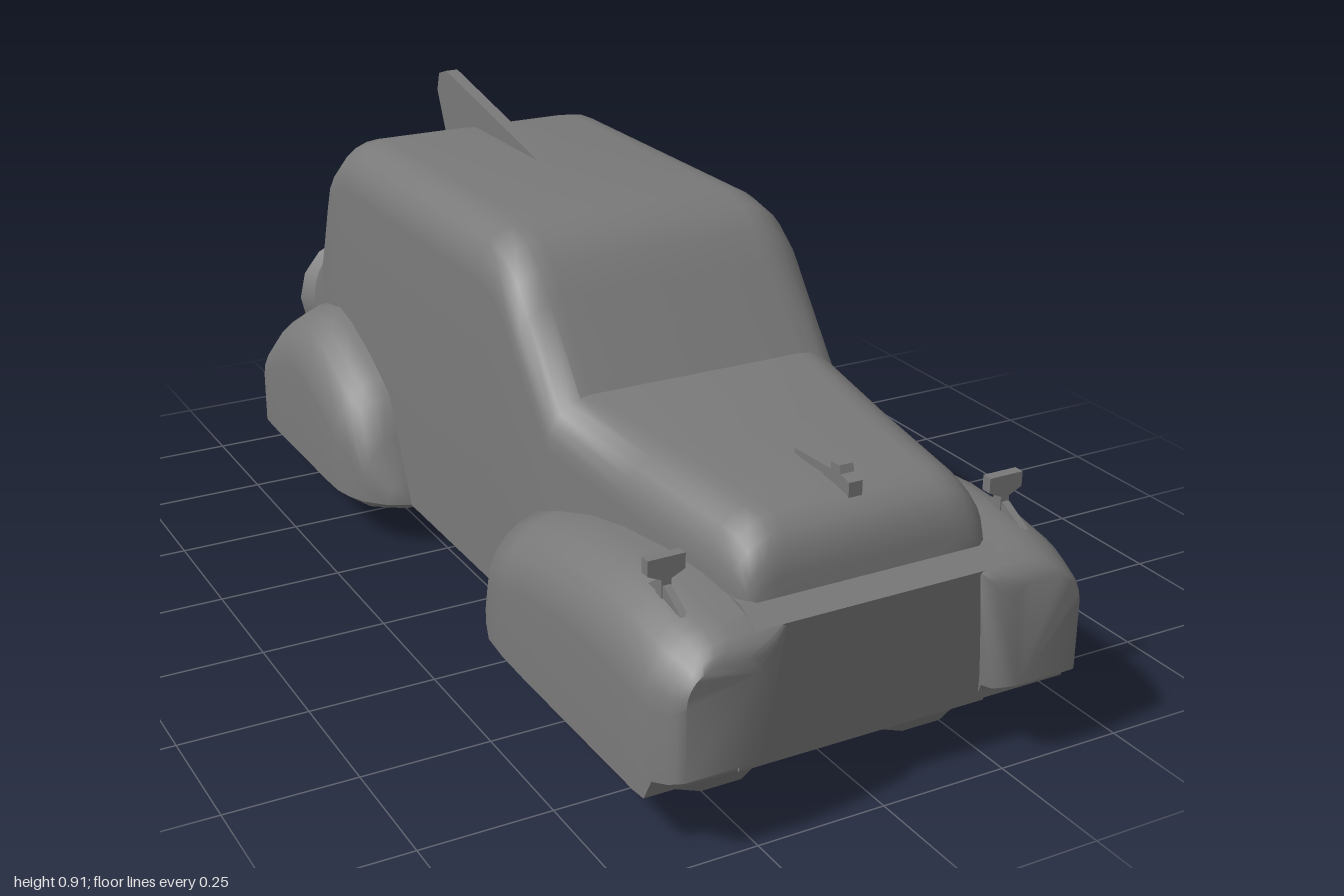
import * as THREE from 'three';
import { toCreasedNormals } from 'three/addons/utils/BufferGeometryUtils.js';

const material = new THREE.MeshStandardMaterial({ color: 0x797979 });

// Section with two rounded top corners: inner/outer x, bottom/top y, inner/outer radius,
// and how far the inner bottom corner leans outwards
function section([z, x0, x1, y0, y1, r0, r1, lean = 0], side) {
  const pts = [[x0 + lean, y0, z], [x1, y0, z]];
  const corner = (x, r, sign, from) => {
    r = Math.min(r, (y1 - y0) * 0.95);
    for (let i = 0; i <= 6; i++) {
      const a = from + (i / 6) * Math.PI / 2;
      pts.push([x - sign * r + Math.cos(a) * r, y1 - r + Math.sin(a) * r, z]);
    }
  };
  corner(x1, r1, 1, 0);
  corner(x0, r0, -1, Math.PI / 2);
  return side < 0 ? pts.map(([x, y, zz]) => [-x, y, zz]).reverse() : pts;
}

// Skin the sections from back to front and cap both ends
function loft(rows, side = 1) {
  const rings = rows.map(r => section(r, side));
  const n = rings[0].length, last = (rings.length - 1) * n, index = [];
  for (let i = 0; i < rings.length - 1; i++) {
    for (let j = 0; j < n; j++) {
      const a = i * n + j, b = i * n + (j + 1) % n;
      index.push(a, b, b + n, a, b + n, a + n);
    }
  }
  for (let j = 1; j < n - 1; j++) index.push(0, j + 1, j, last, last + j, last + j + 1);
  const g = new THREE.BufferGeometry();
  g.setAttribute('position', new THREE.Float32BufferAttribute(rings.flat(2), 3));
  g.setIndex(index);
  return toCreasedNormals(g, 0.78);
}

// Side outline given as [z, y], extruded across x
function sidePlate(points, width, x = 0) {
  const shape = new THREE.Shape(points.map(([z, y]) => new THREE.Vector2(-z, y)));
  const g = new THREE.ExtrudeGeometry(shape, { depth: width, bevelEnabled: false });
  return g.translate(0, 0, -width / 2).rotateY(Math.PI / 2).translate(x, 0, 0);
}

// Turned part: smooth around, sharp between its bands
const turned = (profile, sides) => toCreasedNormals(new THREE.LatheGeometry(
  profile.map(([r, y]) => new THREE.Vector2(r, y)), sides, Math.PI / 2), 0.66);

export function createModel() {
  const car = new THREE.Group();
  car.name = 'car';
  const add = (name, geometry) => {
    const mesh = new THREE.Mesh(geometry, material);
    mesh.name = name;
    car.add(mesh);
    return mesh;
  };

  // Cabin and hood in one skin: z, half width, bottom, top, corner radius
  add('body', loft([
    [-0.88, 0.285, 0.35, 0.43, 0.06],
    [-0.87, 0.297, 0.32, 0.46, 0.08],
    [-0.84, 0.306, 0.25, 0.505, 0.1],
    [-0.78, 0.312, 0.104, 0.55, 0.1],
    [-0.76, 0.314, 0.104, 0.585, 0.1],
    [-0.71, 0.316, 0.104, 0.715, 0.1],
    [-0.685, 0.318, 0.104, 0.765, 0.1],
    [-0.64, 0.318, 0.104, 0.8, 0.1],
    [-0.58, 0.318, 0.104, 0.815, 0.1],
    [0.08, 0.318, 0.104, 0.815, 0.1],
    [0.15, 0.318, 0.104, 0.8, 0.1],
    [0.2, 0.318, 0.104, 0.762, 0.1],
    [0.24, 0.318, 0.104, 0.71, 0.1],
    [0.36, 0.312, 0.104, 0.565, 0.09],
    [0.6, 0.284, 0.104, 0.55, 0.1],
    [0.83, 0.258, 0.104, 0.535, 0.1],
    [0.87, 0.253, 0.104, 0.528, 0.1],
    [0.9, 0.247, 0.104, 0.51, 0.09],
    [0.92, 0.238, 0.104, 0.48, 0.08],
    [0.93, 0.225, 0.104, 0.44, 0.05],
  ].map(([z, w, y0, y1, r]) => [z, -w, w, y0, y1, r, r])));

  // Sloping front panel between the fenders
  add('grillePanel', sidePlate([[0.3, 0.104], [0.935, 0.104], [0.975, 0.385], [0.925, 0.41], [0.3, 0.41]], 0.5));

  // Fin on the roof and ornament on the hood
  add('roofFin', sidePlate([[-0.27, 0.814], [-0.73, 0.908], [-0.77, 0.895], [-0.782, 0.855],
    [-0.71, 0.7], [-0.6, 0.75]], 0.027));
  add('hoodOrnament', sidePlate([[0.71, 0.552], [0.82, 0.557], [0.82, 0.57], [0.845, 0.572], [0.85, 0.558],
    [0.875, 0.552], [0.875, 0.515], [0.8, 0.515], [0.8, 0.54], [0.71, 0.54]], 0.027));

  for (const s of [1, -1]) {
    const label = s > 0 ? 'left' : 'right';

    // Front fender, its nose leaning away from the grille
    add(label + 'FrontFender', loft([
      [0.2, 0.19, 0.32, 0.104, 0.109, 0, 0.005],
      [0.23, 0.19, 0.37, 0.104, 0.165, 0, 0.06],
      [0.27, 0.19, 0.4, 0.104, 0.235, 0, 0.1],
      [0.33, 0.19, 0.422, 0.104, 0.345, 0, 0.13],
      [0.4, 0.19, 0.428, 0.104, 0.37, 0, 0.13],
      [0.5, 0.19, 0.43, 0.104, 0.4, 0, 0.13],
      [0.6, 0.19, 0.43, 0.104, 0.417, 0, 0.13],
      [0.72, 0.19, 0.43, 0.104, 0.426, 0, 0.13],
      [0.82, 0.19, 0.43, 0.104, 0.422, 0, 0.13],
      [0.9, 0.19, 0.43, 0.104, 0.408, 0, 0.13],
      [0.93, 0.19, 0.427, 0.104, 0.402, 0, 0.13, 0.045],
      [0.945, 0.19, 0.421, 0.142, 0.398, 0, 0.125, 0.045],
      [0.975, 0.193, 0.41, 0.15, 0.385, 0.01, 0.11, 0.042],
      [0.99, 0.215, 0.401, 0.156, 0.373, 0.02, 0.09, 0.035],
      [1.0, 0.25, 0.39, 0.16, 0.355, 0.03, 0.06, 0.02],
    ], s));

    // Rear fender
    add(label + 'RearFender', loft([
      [-0.92, 0.31, 0.408, 0.104, 0.225, 0, 0.05],
      [-0.87, 0.3, 0.428, 0.104, 0.305, 0, 0.09],
      [-0.82, 0.29, 0.43, 0.104, 0.365, 0, 0.12],
      [-0.74, 0.29, 0.43, 0.104, 0.413, 0, 0.13],
      [-0.65, 0.29, 0.43, 0.104, 0.432, 0, 0.13],
      [-0.58, 0.29, 0.43, 0.104, 0.418, 0, 0.13],
      [-0.48, 0.29, 0.43, 0.104, 0.378, 0, 0.13],
      [-0.42, 0.29, 0.428, 0.104, 0.346, 0, 0.13],
      [-0.38, 0.29, 0.418, 0.104, 0.322, 0, 0.12],
      [-0.34, 0.29, 0.4, 0.104, 0.237, 0, 0.1],
      [-0.3, 0.29, 0.362, 0.104, 0.155, 0, 0.05],
      [-0.28, 0.29, 0.325, 0.104, 0.112, 0, 0.005],
    ], s));

    // Hollow hover pads in place of wheels
    for (const z of [0.69, -0.6]) {
      const pad = add(label + (z > 0 ? 'Front' : 'Rear') + 'HoverPad', turned(
        [[0, 0.1], [0.095, 0.1], [0.095, 0.045], [0.132, 0], [0.185, 0.073], [0.15, 0.108]], 10));
      pad.position.set(s * 0.21, 0, z);
    }

    // Flared exhaust nozzle pointing backwards
    const nozzle = add(label + 'Nozzle', turned(
      [[0.085, -0.08], [0.095, 0.03], [0.135, 0.15], [0.08, 0.15], [0.05, 0.08], [0, 0.08]], 14));
    nozzle.rotation.x = -Math.PI / 2;
    nozzle.position.set(s * 0.15, 0.338, -0.85);

    // Small T-shaped lamp on each front fender, with a keel along its base
    const tee = new THREE.Shape([[-0.009, 0.39], [0.009, 0.39], [0.009, 0.44], [0.035, 0.452], [0.035, 0.48],
      [-0.035, 0.48], [-0.035, 0.452], [-0.009, 0.44]].map(p => new THREE.Vector2(...p)));
    add(label + 'FenderLamp', new THREE.ExtrudeGeometry(tee, { depth: 0.02, bevelEnabled: false })
      .translate(s * 0.34, 0, 0.825));
    add(label + 'LampKeel', sidePlate([[0.78, 0.4], [0.905, 0.4], [0.85, 0.43], [0.82, 0.43]], 0.014, s * 0.34));
  }
  return car;
}
